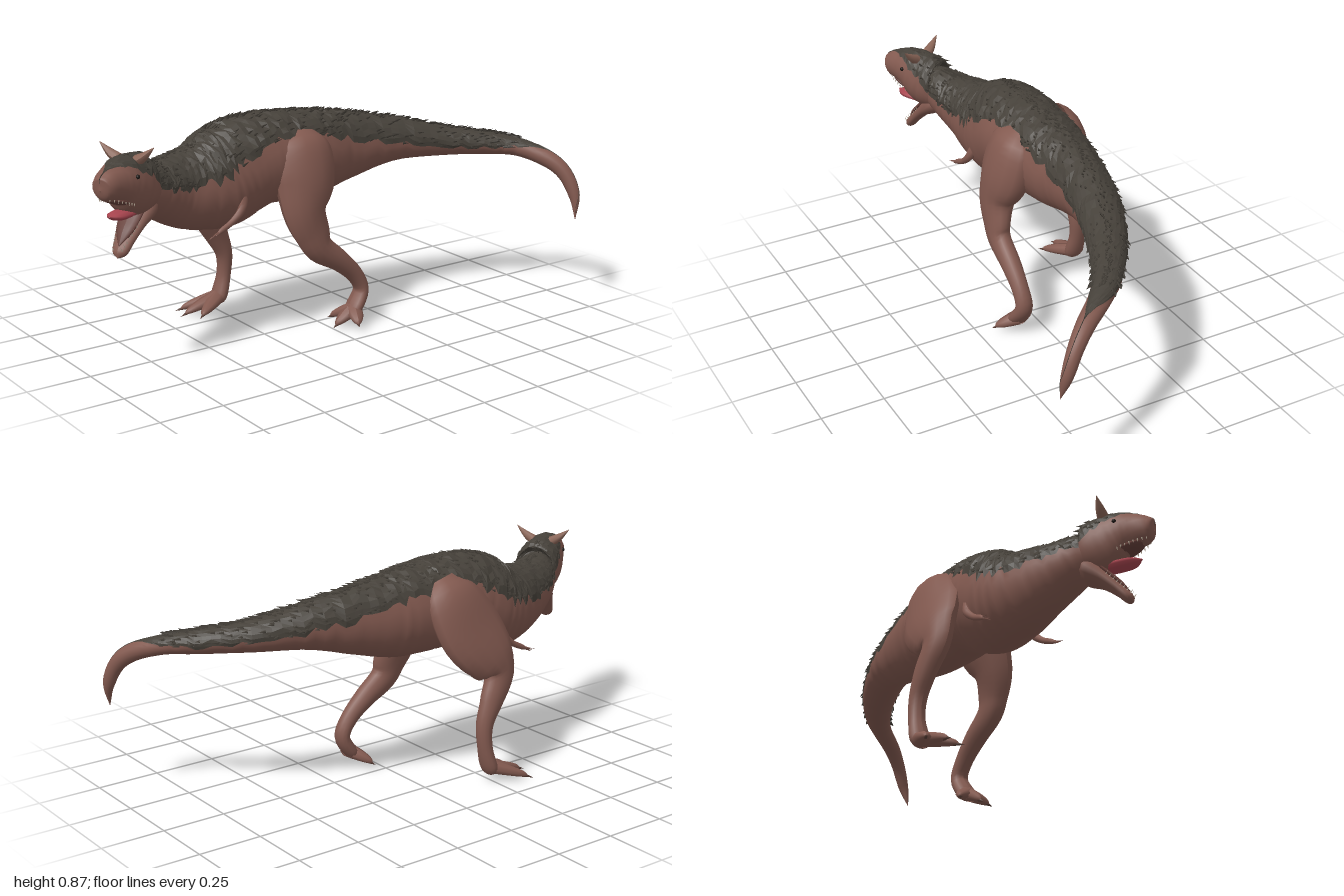
import * as THREE from 'three';
import { mergeGeometries } from 'three/addons/utils/BufferGeometryUtils.js';

const V = (x, y, z) => new THREE.Vector3(x, y, z);
const UP = V(0, 1, 0), FORWARD = V(0, 0, 1);
const hash = (a, b = 0) => { const s = Math.sin(a * 12.9898 + b * 78.233) * 43758.5453; return s - Math.floor(s); };
const rad = THREE.MathUtils.degToRad;
const curve = points => new THREE.CatmullRomCurve3(points, false, 'catmullrom');

// A path of oval rings [x, y, z, halfWidth, halfHeight, coatAngle]
function makePath(rings, ref = UP) {
  const centre = curve(rings.map(r => V(r[0], r[1], r[2])));
  const size = curve(rings.map(r => V(r[3], r[4], (r[5] || 0) / 100)));
  return t => {
    const c = centre.getPoint(t), dir = centre.getTangent(t), d = size.getPoint(t);
    const side = ref.clone().cross(dir).normalize();
    const up = dir.clone().cross(side);
    const at = (a, k = 1) => c.clone()
      .addScaledVector(side, Math.max(d.x, 0.001) * k * Math.sin(a))
      .addScaledVector(up, Math.max(d.y, 0.001) * k * Math.cos(a));
    return { at, dir, coat: Math.max(2, d.z * 100) };
  };
}

// part: 'all' = closed tube, 'coat' = upper strip, 'skin' = the rest
function loft(path, segs, n, part = 'all') {
  const pos = [], index = [];
  for (let i = 0; i <= segs; i++) {
    const ring = path(i / segs);
    const right = rad(ring.coat * (0.88 + 0.24 * hash(i, 1))), left = rad(ring.coat * (0.88 + 0.24 * hash(i, 2)));
    const [a0, a1] = part === 'coat' ? [-left, right] : part === 'skin' ? [right, Math.PI * 2 - left] : [0, Math.PI * 2];
    for (let j = 0; j <= n; j++) {
      const rough = part === 'coat' && j > 0 && j < n ? 1 + 0.055 * hash(i, j + 5) : 1;
      pos.push(...ring.at(a0 + (a1 - a0) * j / n, rough).toArray());
    }
  }
  for (let i = 0; i < segs; i++) for (let j = 0; j < n; j++) {
    const a = i * (n + 1) + j, b = a + n + 1;
    index.push(a, b, a + 1, b, b + 1, a + 1);
  }
  let g = new THREE.BufferGeometry();
  g.setAttribute('position', new THREE.Float32BufferAttribute(pos, 3));
  g.setIndex(index);
  if (part === 'coat') g = g.toNonIndexed(); // rough, faceted coat
  g.computeVertexNormals();
  return g;
}

// Pointed cone from base to tip
function spike(base, tip, r, sides = 6) {
  const d = tip.clone().sub(base), len = d.length();
  return new THREE.ConeGeometry(r, len, sides).translate(0, len / 2, 0)
    .applyQuaternion(new THREE.Quaternion().setFromUnitVectors(UP, d.normalize()))
    .translate(base.x, base.y, base.z);
}

// Ragged tufts lying back over a coated path
function tufts(path, count, t0, t1, dirSign, size) {
  const list = [];
  for (let i = 0; i < count; i++) {
    const ring = path(t0 + (t1 - t0) * (i + hash(i, 3)) / count);
    const a = rad(ring.coat) * (i % 3 ? hash(i, 7) * 2 - 1 : (hash(i, 7) - 0.5) * 0.25);
    const base = ring.at(a), out = base.clone().sub(ring.at(0, 0)).normalize();
    const len = size * (0.7 + 0.7 * hash(i, 9));
    const tip = base.clone().addScaledVector(ring.dir, dirSign * len).addScaledVector(out, len * 0.35);
    list.push(spike(base, tip, size * 0.3, 3));
  }
  return mergeGeometries(list);
}

export function createModel() {
  const mat = (name, color, side = THREE.FrontSide) => {
    const m = new THREE.MeshStandardMaterial({ color, side });
    m.name = name;
    return m;
  };
  const skin = mat('brown skin', 0x835a50, THREE.DoubleSide);
  const coat = mat('dark coat', 0x46413a, THREE.DoubleSide);
  const horn = mat('horn', 0x8a6557, THREE.DoubleSide);
  const claw = mat('claw', 0x5a4038);
  const red = mat('tongue red', 0xa8454f);
  const lining = mat('mouth lining', 0x66403a);
  const ivory = mat('tooth ivory', 0xb8aa98);
  const black = mat('eye', 0x1c1714);

  const model = new THREE.Group();
  const add = (parent, name, geo, material) => {
    const m = new THREE.Mesh(geo, material);
    m.name = name;
    parent.add(m);
    return m;
  };

  // Neck, trunk and tail in one sweep
  const body = makePath([
    [0.03, 0.70, 0.84, 0.05, 0.06, 90], [0.0, 0.68, 0.77, 0.085, 0.085, 90],
    [-0.035, 0.65, 0.70, 0.105, 0.105, 84], [-0.07, 0.625, 0.60, 0.122, 0.138, 78],
    [-0.085, 0.615, 0.50, 0.145, 0.165, 75], [-0.09, 0.63, 0.40, 0.162, 0.193, 75],
    [-0.09, 0.665, 0.30, 0.165, 0.19, 66], [-0.09, 0.68, 0.20, 0.165, 0.178, 58],
    [-0.09, 0.675, 0.08, 0.155, 0.175, 58], [-0.095, 0.67, -0.05, 0.14, 0.165, 60],
    [-0.09, 0.675, -0.20, 0.11, 0.135, 70], [-0.055, 0.68, -0.40, 0.09, 0.09, 88],
    [0.02, 0.66, -0.60, 0.073, 0.06, 98], [0.12, 0.645, -0.77, 0.055, 0.045, 100],
    [0.20, 0.63, -0.86, 0.042, 0.036, 70], [0.30, 0.59, -0.93, 0.034, 0.034, 0],
    [0.36, 0.535, -0.968, 0.028, 0.03, 0], [0.40, 0.45, -0.985, 0.021, 0.023, 0],
    [0.42, 0.36, -0.975, 0.001, 0.001, 0],
  ]);
  add(model, 'bodySkin', loft(body, 108, 18, 'skin'), skin);
  add(model, 'bodyCoat', loft(body, 108, 14, 'coat'), coat);
  add(model, 'bodyTufts', tufts(body, 800, 0.05, 0.77, 1, 0.022), coat);

  // Head, turned towards the model's left
  const head = new THREE.Group();
  head.name = 'head';
  head.position.set(0.005, 0.70, 0.77);
  head.rotation.y = 0.5;
  model.add(head);
  const skull = makePath([
    [0, 0, -0.03, 0.05, 0.06, 90], [0, -0.012, 0, 0.085, 0.095, 86],
    [0, 0.002, 0.06, 0.09, 0.112, 72], [0, 0.03, 0.13, 0.078, 0.09, 58],
    [0, 0.035, 0.19, 0.06, 0.068, 22], [0, 0.03, 0.235, 0.047, 0.052, 0],
    [0, 0.026, 0.253, 0.032, 0.037, 0], [0, 0.025, 0.26, 0.002, 0.003, 0],
  ]);
  add(head, 'skullSkin', loft(skull, 35, 16, 'skin'), skin);
  add(head, 'skullCoat', loft(skull, 35, 10, 'coat'), coat);
  add(head, 'skullTufts', tufts(skull, 70, 0.05, 0.45, -1, 0.018), coat);
  add(head, 'lowerJaw', loft(makePath([
    [0, -0.05, -0.02, 0.05, 0.045], [0, -0.09, 0.015, 0.072, 0.046], [0, -0.135, 0.07, 0.058, 0.028],
    [0, -0.185, 0.12, 0.042, 0.021], [0, -0.225, 0.155, 0.029, 0.018], [0, -0.24, 0.17, 0.001, 0.001],
  ]), 20, 12), skin);
  add(head, 'mouthLining', loft(makePath([
    [0, -0.06, 0.03, 0.05, 0.03], [0, -0.107, 0.076, 0.046, 0.012],
    [0, -0.155, 0.12, 0.034, 0.012], [0, -0.2, 0.16, 0.001, 0.001],
  ]), 12, 10), lining);
  add(head, 'palate', loft(makePath([
    [0, -0.06, 0.07, 0.055, 0.02], [0, -0.038, 0.14, 0.05, 0.016],
    [0, -0.02, 0.2, 0.036, 0.012], [0, -0.006, 0.232, 0.001, 0.001],
  ]), 12, 10), lining);
  add(head, 'tongue', loft(makePath([
    [0, -0.09, 0.03, 0.028, 0.014], [0, -0.088, 0.11, 0.04, 0.018],
    [0, -0.086, 0.175, 0.034, 0.015], [0, -0.08, 0.21, 0.001, 0.001],
  ]), 14, 10), red);

  const teeth = [];
  for (const s of [-1, 1]) {
    add(head, 'horn', loft(makePath([
      [s * 0.04, 0.098, 0.085, 0.021, 0.023], [s * 0.072, 0.118, 0.086, 0.015, 0.017],
      [s * 0.112, 0.152, 0.087, 0.001, 0.001],
    ], FORWARD), 8, 8), horn);
    const eye = add(head, 'eye', new THREE.SphereGeometry(0.008, 10, 8), black);
    eye.position.set(s * 0.073, 0.055, 0.135);
    for (let k = 0; k < 8; k++) {
      const f = k / 7;
      const top = V(s * (0.056 - 0.034 * f * f), -0.042 + 0.036 * f, 0.135 + 0.1 * f);
      teeth.push(spike(top, top.clone().add(V(0, -0.013, 0.002)), 0.003, 4));
      const low = V(s * (0.044 - 0.026 * f), -0.133 - 0.08 * f, 0.085 + 0.08 * f);
      teeth.push(spike(low, low.clone().add(V(0, 0.013, 0.01)), 0.003, 4));
    }
  }
  add(head, 'teeth', mergeGeometries(teeth), ivory);

  // Legs in mid stride, each with three spread toes
  const leg = (name, rings, claws) => {
    const g = new THREE.Group();
    g.name = name;
    model.add(g);
    add(g, 'limb', loft(makePath(rings, FORWARD), 40, 14), skin);
    const ankle = V(...rings[rings.length - 2].slice(0, 3));
    for (const c of claws) {
      const tip = V(...c), along = (f, lift) => ankle.clone().lerp(tip, f).add(V(0, lift, 0)).toArray();
      add(g, 'toe', loft(makePath([
        [...along(0, 0), 0.034, 0.028], [...along(0.45, 0.004), 0.029, 0.02],
        [...along(0.76, 0.004), 0.016, 0.012], [...along(0.88, 0), 0.001, 0.001],
      ]), 10, 8), skin);
      add(g, 'claw', spike(V(...along(0.76, 0)), tip, 0.009), claw);
    }
  };
  leg('leftLeg', [
    [0.0, 0.79, 0.08, 0.03, 0.06], [0.02, 0.73, 0.085, 0.075, 0.12], [0.05, 0.61, 0.095, 0.083, 0.128],
    [0.078, 0.50, 0.115, 0.064, 0.092], [0.095, 0.41, 0.09, 0.046, 0.076], [0.1, 0.345, 0.06, 0.042, 0.058],
    [0.1, 0.28, -0.03, 0.04, 0.043], [0.1, 0.21, -0.105, 0.034, 0.034], [0.1, 0.14, -0.14, 0.036, 0.028],
    [0.105, 0.07, -0.10, 0.044, 0.026], [0.11, 0.04, -0.078, 0.02, 0.012],
  ], [[0.02, 0.02, -0.035], [0.11, 0.008, 0.0], [0.2, 0.025, -0.06]]);
  leg('rightLeg', [
    [-0.185, 0.80, 0.12, 0.03, 0.06], [-0.225, 0.73, 0.14, 0.064, 0.12], [-0.272, 0.60, 0.20, 0.06, 0.148],
    [-0.305, 0.50, 0.265, 0.054, 0.12], [-0.32, 0.425, 0.3, 0.044, 0.068], [-0.335, 0.33, 0.255, 0.038, 0.05],
    [-0.34, 0.24, 0.217, 0.034, 0.034], [-0.345, 0.15, 0.217, 0.033, 0.028], [-0.345, 0.065, 0.24, 0.042, 0.028],
    [-0.345, 0.04, 0.26, 0.02, 0.014],
  ], [[-0.425, 0.005, 0.4], [-0.34, 0.01, 0.425], [-0.255, 0.018, 0.385]]);

  // Tiny arms held against the chest
  for (const s of [-1, 1]) {
    const x = d => -0.09 + s * d;
    add(model, s > 0 ? 'leftArm' : 'rightArm', loft(makePath([
      [x(0.135), 0.60, 0.36, 0.016, 0.022], [x(0.155), 0.545, 0.385, 0.015, 0.017], [x(0.158), 0.505, 0.43, 0.011, 0.012],
      [x(0.162), 0.48, 0.48, 0.009, 0.01], [x(0.165), 0.465, 0.505, 0.001, 0.001],
    ]), 16, 8), skin);
    add(model, 'fingers', mergeGeometries([-1, 0, 1].map(k =>
      spike(V(x(0.162), 0.477, 0.488), V(x(0.165 + k * 0.01), 0.457 + k * 0.008, 0.535), 0.005, 5))), skin);
  }
  return model;
}
